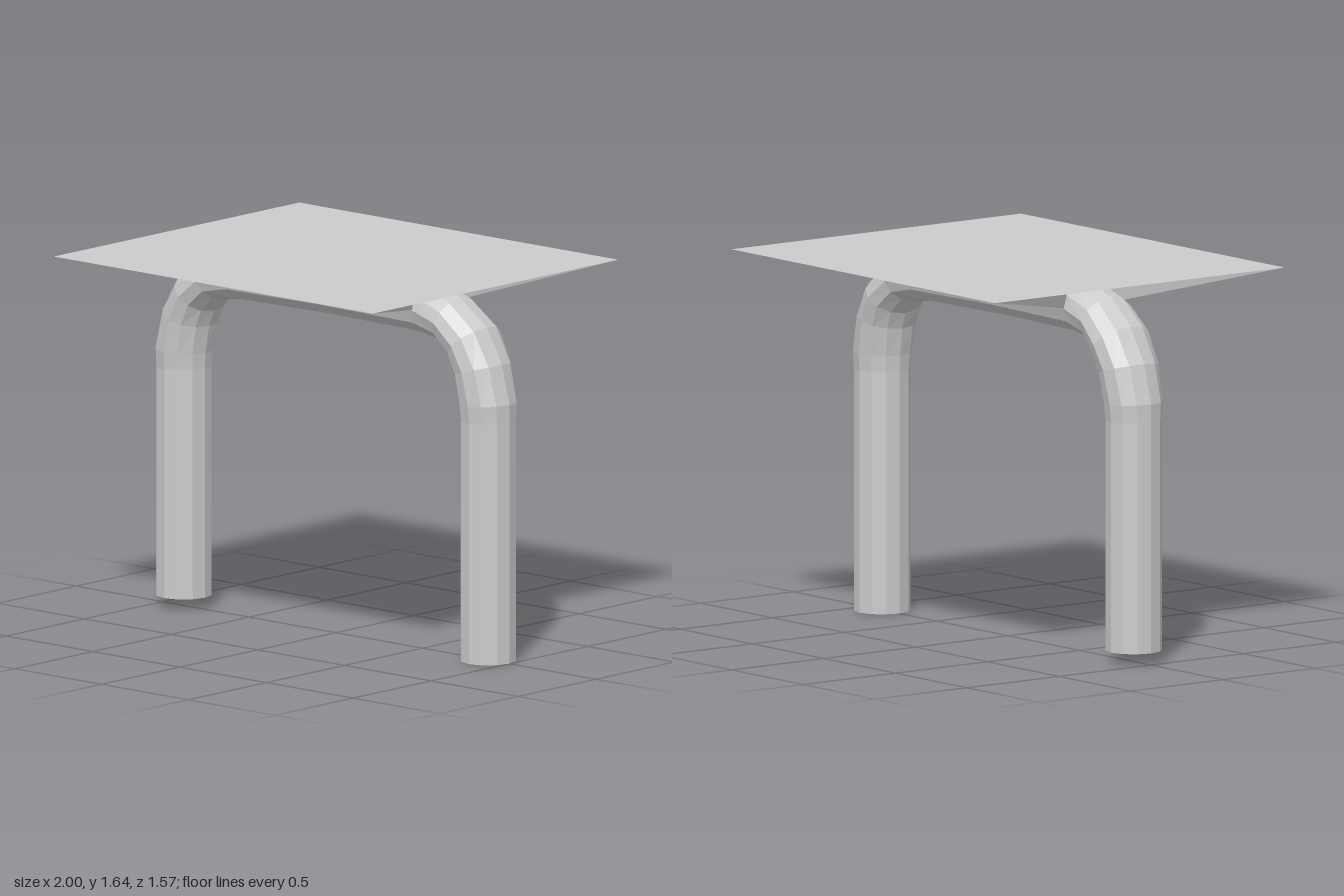
import * as THREE from 'three';

const SIDES = 12;

// Flat-shaded mesh from a list of triangle corners
function facetMesh(name, corners, side = THREE.FrontSide) {
  const geometry = new THREE.BufferGeometry();
  geometry.setAttribute('position', new THREE.Float32BufferAttribute(corners.flat(), 3));
  geometry.computeVertexNormals();
  const mesh = new THREE.Mesh(geometry, new THREE.MeshStandardMaterial({ color: 0xcccccc, flatShading: true, side }));
  mesh.name = name;
  return mesh;
}

// Bent pipe: both legs and the crossbar in one sweep
function createFrame() {
  // Half of the arch: outer x, outer y, inner x, inner y, half depth, z shift
  const half = [
    [1, 0, 0.757, 0, 0.123, 0],
    [1, 1.05, 0.757, 1.05, 0.123, 0],
    [1, 1.13, 0.753, 1.12, 0.13, 0],
    [0.955, 1.3, 0.735, 1.24, 0.137, -0.003],
    [0.865, 1.45, 0.71, 1.31, 0.145, -0.006],
    [0.72, 1.56, 0.65, 1.37, 0.137, 0],
    [0.55, 1.62, 0.54, 1.385, 0.125, 0],
  ];
  const mirrored = half.map(([ox, oy, ix, iy, d, s]) => [-ox, oy || 0.05, -ix, iy || 0.05, d, s]).reverse();
  const sections = [...half, [0, 1.627, 0, 1.391, 0.122, 0], ...mirrored];

  const rings = sections.map(([ox, oy, ix, iy, depth, shift]) =>
    Array.from({ length: SIDES }, (_, j) => {
      const a = (j / SIDES) * Math.PI * 2;
      const k = (1 + Math.cos(a)) / 2;
      return [ix + (ox - ix) * k, iy + (oy - iy) * k, shift + depth * Math.sin(a)];
    }));

  const tris = [];
  const first = rings[0], last = rings[rings.length - 1];
  for (let j = 0; j < SIDES; j++) {
    const n = (j + 1) % SIDES;
    for (let i = 0; i < rings.length - 1; i++) {
      const a = rings[i], b = rings[i + 1];
      tris.push(a[j], b[j], a[n], b[j], b[n], a[n]);
    }
    // Foot caps
    if (j > 0 && j < SIDES - 1) {
      tris.push(first[0], first[j], first[n], last[0], last[n], last[j]);
    }
  }
  return facetMesh('frame', tris);
}

// Flat seat with undersides sloping in to the crossbar
function createSeat() {
  const X = 0.92, Z = 0.785, Y = 1.637;
  const tris = [
    [-X, Y, Z], [X, Y, Z], [X, Y, -Z],
    [-X, Y, Z], [X, Y, -Z], [-X, Y, -Z],
  ];
  // Points where the underside meets the crossbar, from its side to its top
  const joint = [0, 1, 2, 3].map((i) => {
    const a = Math.PI / 2 - (i * Math.PI) / 6;
    return [0.55, 1.503 + 0.118 * Math.cos(a), 0.124 * Math.sin(a)];
  });
  for (const sx of [1, -1]) {
    for (const sz of [1, -1]) {
      const at = ([x, y, z]) => [x * sx, y, z * sz];
      const add = (...pts) => {
        const p = pts.map(at);
        tris.push(...(sx * sz > 0 ? p : p.reverse()));
      };
      const corner = [X, Y, Z], edge = [0, Y, Z], middle = [0, 1.508, 0.122];
      // Long slope
      add(edge, middle, corner);
      add(middle, joint[0], corner);
      // Folded end slope
      for (let i = 0; i < 3; i++) add(joint[i], joint[i + 1], corner);
      add(joint[3], [X, Y, 0], corner);
    }
  }
  return facetMesh('seat', tris, THREE.DoubleSide);
}

export function createModel() {
  const model = new THREE.Group();
  model.name = 'bench';
  model.add(createFrame(), createSeat());
  return model;
}
